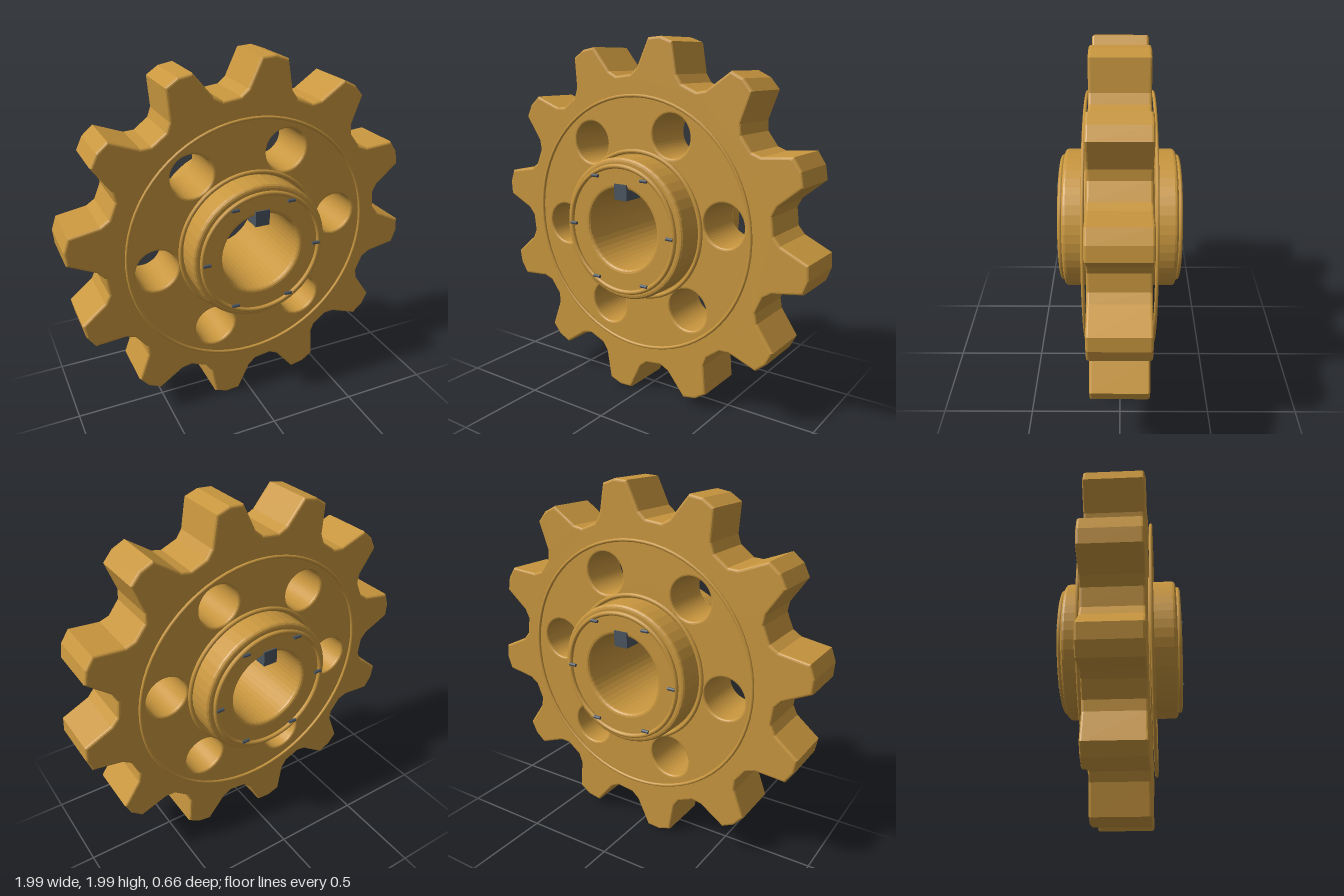
import * as THREE from 'three';

const gold = new THREE.MeshStandardMaterial({ color: 0xc8963e });
const steel = new THREE.MeshStandardMaterial({ color: 0x4a5560 });
const rad = THREE.MathUtils.degToRad;

function circleHole(x, y, r) {
  return new THREE.Path().absarc(x, y, r, 0, Math.PI * 2, true);
}

// Extrusion centred on z = 0, with rounded rims kept inside the outline
function plate(shape, thickness, bevel) {
  const depth = thickness - 2 * bevel;
  const geo = new THREE.ExtrudeGeometry(shape, {
    depth, curveSegments: 24, bevelEnabled: true, bevelSegments: 3,
    bevelSize: bevel, bevelThickness: bevel, bevelOffset: -bevel,
  });
  return geo.translate(0, 0, -depth / 2);
}

export function createModel() {
  const model = new THREE.Group();
  model.name = 'sprocket';
  const wheel = new THREE.Group();
  wheel.name = 'wheel';
  wheel.position.y = 1;
  model.add(wheel);

  const add = (name, geo, mat, x = 0, y = 0, z = 0) => {
    const mesh = new THREE.Mesh(geo, mat);
    mesh.name = name;
    mesh.position.set(x, y, z);
    wheel.add(mesh);
    return mesh;
  };

  // Toothed body: one tooth profile [angle, radius] repeated twelve times
  const tooth = [[-11.6, 0.806], [-8.6, 0.84], [-4.4, 0.99], [0, 1.003], [4.4, 0.99], [8.6, 0.84], [11.6, 0.806]];
  const outline = [];
  for (let i = 0; i < 12; i++) {
    for (const [a, r] of tooth) {
      const t = rad(-8 + i * 30 + a);
      outline.push(new THREE.Vector2(r * Math.cos(t), r * Math.sin(t)));
    }
  }
  const body = new THREE.Shape(outline);
  body.holes.push(circleHole(0, 0, 0.3));
  for (let i = 0; i < 6; i++) {
    const t = rad(7 + i * 60);
    body.holes.push(circleHole(0.535 * Math.cos(t), 0.535 * Math.sin(t), 0.115));
  }
  add('toothedBody', plate(body, 0.306, 0.013), gold);

  // Hub with the shaft bore
  const hub = new THREE.Shape().absarc(0, 0, 0.384, 0, Math.PI * 2, false);
  hub.holes.push(circleHole(0, 0, 0.22));
  add('hub', plate(hub, 0.604, 0.02), gold);

  // Key in the top of the bore
  add('shaftKey', new THREE.BoxGeometry(0.08, 0.085, 0.62), steel, 0, 0.202, 0);

  // Trim rings and retaining pins, on both faces
  for (const side of [1, -1]) {
    add('outerRing', new THREE.TorusGeometry(0.695, 0.009, 8, 72), gold, 0, 0, side * 0.175);
    add('hubBaseRing', new THREE.TorusGeometry(0.403, 0.012, 8, 64), gold, 0, 0, side * 0.165);
    add('hubFaceRing', new THREE.TorusGeometry(0.34, 0.0125, 8, 64), gold, 0, 0, side * 0.312);
    for (let i = 0; i < 6; i++) {
      const t = rad(i * 60);
      const pin = new THREE.CylinderGeometry(0.009, 0.009, 0.042, 8).rotateZ(Math.PI / 2);
      add('pin', pin, steel, 0.318 * Math.cos(t), 0.322 * Math.sin(t), side * 0.322);
    }
  }
  return model;
}
